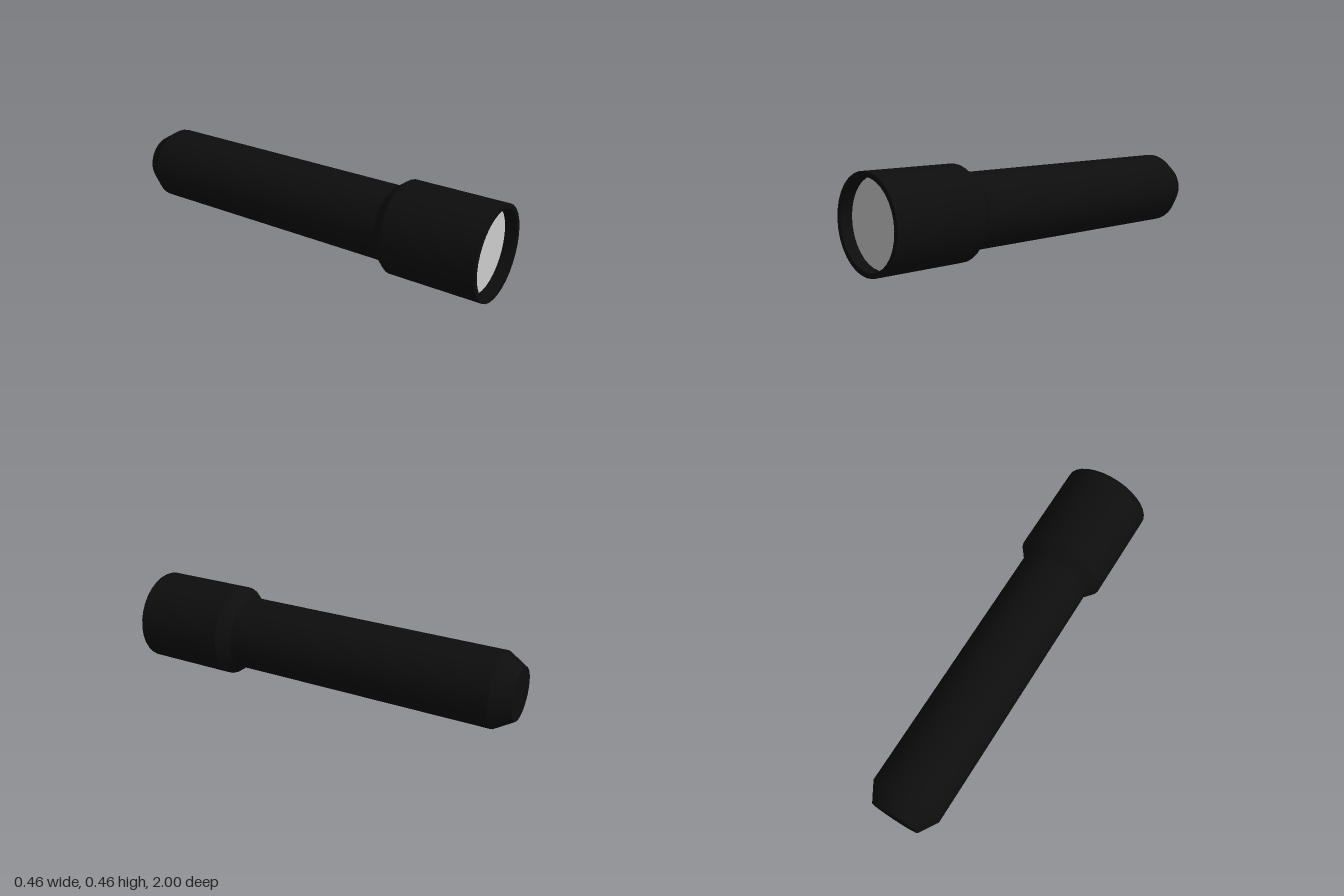
import * as THREE from 'three';
import { toCreasedNormals } from 'three/addons/utils/BufferGeometryUtils.js';

const SIDES = 32;
const AXIS_Y = 0.231;

export function createModel() {
  const black = new THREE.MeshStandardMaterial({ color: 0x0d0d0d });
  black.name = 'matte black casing';
  const grey = new THREE.MeshStandardMaterial({ color: 0xcccccc });
  grey.name = 'pale grey lens';

  const torch = new THREE.Group();
  torch.name = 'flashlight';

  // Revolves a [radius, z] profile about the long axis, keeping bevels sharp
  function turned(name, profile) {
    const points = profile.map(([r, z]) => new THREE.Vector2(r, z));
    const geometry = toCreasedNormals(new THREE.LatheGeometry(points, SIDES), 0.4);
    geometry.rotateX(Math.PI / 2);
    add(name, geometry, black);
  }

  function disc(name, radius, z, material, facesBack) {
    const geometry = new THREE.CircleGeometry(radius, SIDES);
    if (facesBack) geometry.rotateY(Math.PI);
    geometry.translate(0, 0, z);
    add(name, geometry, material);
  }

  function add(name, geometry, material) {
    const mesh = new THREE.Mesh(geometry, material);
    mesh.name = name;
    mesh.position.y = AXIS_Y;
    torch.add(mesh);
  }

  // Tail: flat end and bevel
  disc('tailEnd', 0.128, -1, black, true);
  turned('tailBevel', [[0.128, -1], [0.185, -0.905]]);

  // Handle tube
  turned('handle', [[0.185, -0.905], [0.185, 0.465]]);

  // Head: flared collar, barrel, rim and recessed inner wall
  turned('head', [[0.185, 0.465], [0.231, 0.525], [0.231, 1], [0.207, 1], [0.207, 0.94]]);

  // Lens set back inside the rim
  disc('lens', 0.207, 0.94, grey, false);

  return torch;
}
